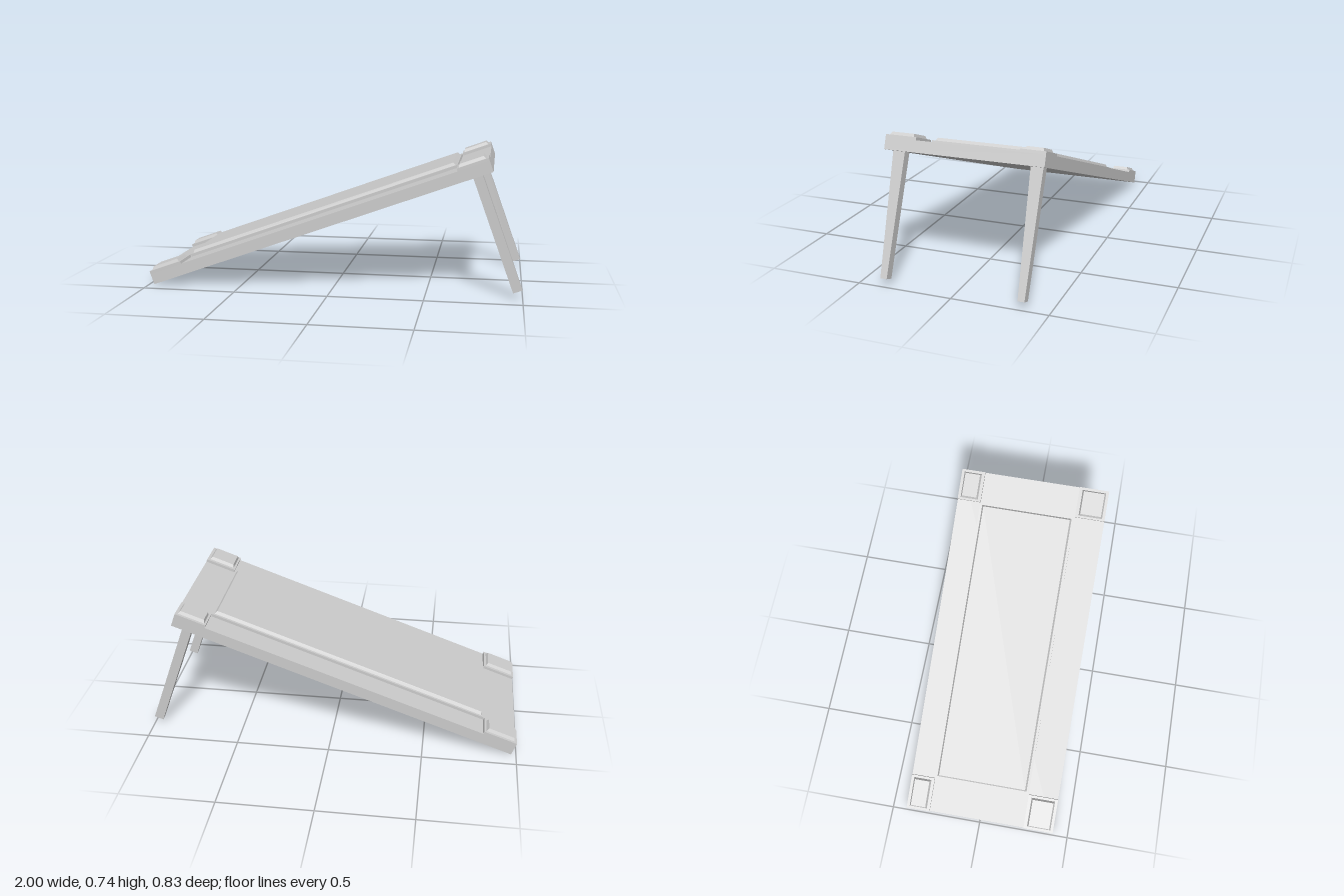
import * as THREE from 'three';

const material = new THREE.MeshStandardMaterial({ color: 0xcccccc, flatShading: true });

// Box from ranges along the slope (x), normal to it (y) and across (z);
// the insets draw in the top or bottom face on every side
function block(name, [x0, x1], [y0, y1], [z0, z1], topInset = 0, bottomInsetZ = 0) {
  const w = x1 - x0, h = y1 - y0, d = z1 - z0;
  const geometry = new THREE.BoxGeometry(w, h, d);
  const p = geometry.attributes.position;
  for (let i = 0; i < p.count; i++) {
    const sx = Math.sign(p.getX(i)), sz = Math.sign(p.getZ(i));
    if (p.getY(i) > 0) {
      p.setX(i, p.getX(i) - sx * topInset);
      p.setZ(i, p.getZ(i) - sz * topInset);
    } else {
      p.setZ(i, p.getZ(i) - sz * bottomInsetZ);
    }
  }
  geometry.computeVertexNormals();
  const mesh = new THREE.Mesh(geometry, material);
  mesh.name = name;
  mesh.position.set((x0 + x1) / 2, (y0 + y1) / 2, (z0 + z1) / 2);
  return mesh;
}

export function createModel() {
  const model = new THREE.Group();
  model.name = 'ramp';

  // Everything is laid out flat, then tipped up about the low edge
  const board = new THREE.Group();
  board.name = 'tiltedBoard';
  board.position.set(-0.974, 0, 0);
  board.rotation.z = THREE.MathUtils.degToRad(20);
  model.add(board);

  // Slab and its two-tier centre panel
  board.add(block('slab', [0, 1.925], [0, 0.06], [-0.415, 0.415]));
  board.add(block('panelBase', [0.191, 1.753], [0.06, 0.075], [-0.285, 0.247]));
  board.add(block('panelTop', [0.203, 1.742], [0.075, 0.091], [-0.272, 0.234], 0.009));

  // Corner blocks with bevelled pads
  const ends = [
    { block: [0, 0.188], pad: [0.013, 0.175] },
    { block: [1.756, 1.925], pad: [1.767, 1.911] },
  ];
  const sides = [
    { block: [0.25, 0.415], pad: [0.268, 0.4] },
    { block: [-0.415, -0.285], pad: [-0.4, -0.302] },
  ];
  for (const end of ends) {
    for (const side of sides) {
      board.add(block('cornerBlock', end.block, [0.06, 0.075], side.block));
      board.add(block('cornerPad', end.pad, [0.075, 0.091], side.pad, 0.008));
    }
  }

  // Legs square to the slab, tapering across their width
  for (const z of [0.362, -0.36]) {
    board.add(block('leg', [1.818, 1.868], [-0.633, 0], [z - 0.032, z + 0.032], 0, 0.0145));
  }
  return model;
}
